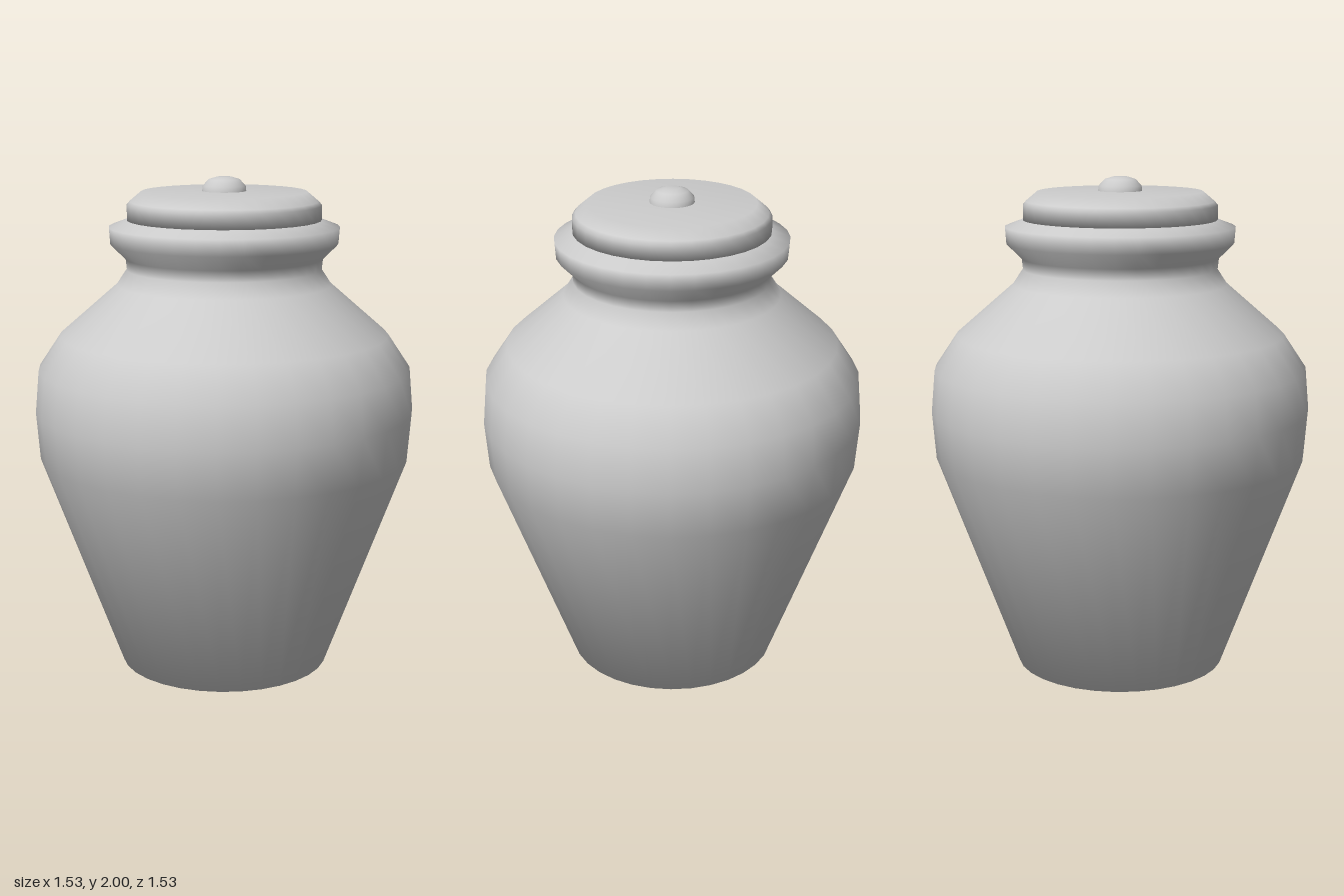
import * as THREE from 'three';

const material = new THREE.MeshStandardMaterial({ color: 0xcccccc, side: THREE.DoubleSide });

// Turned part from [radius, height] points, listed bottom to top
function turned(name, profile) {
  const points = profile.map(([r, y]) => new THREE.Vector2(r, y));
  const mesh = new THREE.Mesh(new THREE.LatheGeometry(points, 32), material);
  mesh.name = name;
  return mesh;
}

export function createModel() {
  const urn = new THREE.Group();
  urn.name = 'urn';

  // Closed base, tapering belly, shoulder, neck and flared rim
  urn.add(turned('body', [
    [0, 0], [0.425, 0], [0.75, 0.88], [0.765, 1.07], [0.75, 1.24],
    [0.66, 1.375], [0.43, 1.575], [0.39, 1.635], [0.395, 1.68],
    [0.455, 1.74], [0.46, 1.805], [0.38, 1.835],
  ]));

  // Flat lid with a bevelled edge
  urn.add(turned('lid', [
    [0, 1.83], [0.388, 1.83], [0.388, 1.89], [0.375, 1.905], [0.33, 1.943], [0, 1.945],
  ]));

  // Small rounded knob
  urn.add(turned('knob', [
    [0.088, 1.94], [0.085, 1.965], [0.062, 1.99], [0.03, 2], [0, 2],
  ]));

  return urn;
}
